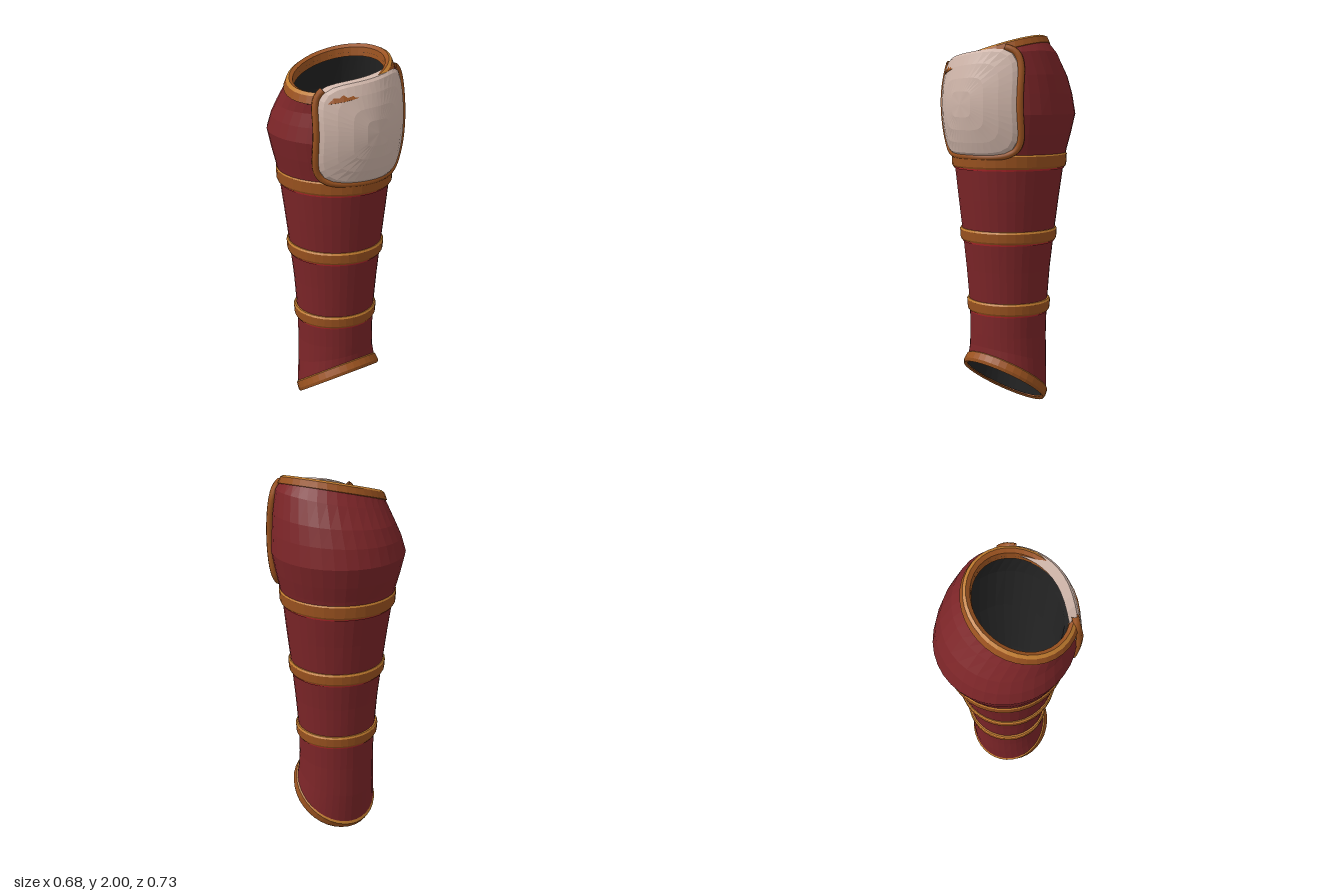
import * as THREE from 'three';

const mat = (name, color) => {
  const m = new THREE.MeshStandardMaterial({ color, side: THREE.DoubleSide });
  m.name = name;
  return m;
};

// Flat-shaded skin through closed rings; point(i, angle) gives each vertex
function skin(rows, sides, point) {
  const pos = [], index = [];
  for (let i = 0; i < rows; i++)
    for (let j = 0; j < sides; j++) pos.push(...point(i, (j / sides) * Math.PI * 2));
  for (let i = 0; i < rows - 1; i++)
    for (let j = 0; j < sides; j++) {
      const a = i * sides + j, b = i * sides + ((j + 1) % sides);
      index.push(a, a + sides, b, b, a + sides, b + sides);
    }
  const g = new THREE.BufferGeometry();
  g.setAttribute('position', new THREE.Float32BufferAttribute(pos, 3));
  g.setIndex(index);
  const flat = g.toNonIndexed();
  flat.computeVertexNormals();
  return flat;
}

// Each row: y, x centre, x radius, z centre, z radius, slope along x, slope along z
const loft = (rows) => skin(rows.length, 36, (i, t) => {
  const [y, cx, rx, cz, rz, sx = 0, sz = 0] = rows[i];
  const dx = rx * Math.cos(t), dz = rz * Math.sin(t);
  return [cx + dx, y + sx * dx + sz * dz, cz + dz];
});

export function createModel() {
  const group = new THREE.Group();
  const red = mat('dark red', 0x7c2528);
  const brightRed = mat('bright red', 0xb0262a);
  const orange = mat('bronze', 0x9a521f);
  const gold = mat('gold', 0xbe7a2e);
  const cream = mat('cream', 0xd0b6aa);
  const black = mat('lining black', 0x242424);
  const add = (name, geometry, material) => {
    const mesh = new THREE.Mesh(geometry, material);
    mesh.name = name;
    group.add(mesh);
  };

  // Outer sleeve, slanted at the bottom and tilted at the top
  add('sleeve', loft([
    [0.18, 0, 0.225, 0.012, 0.2, 0, 0.72],
    [0.3, 0, 0.212, 0.005, 0.203, 0, 0.35],
    [0.42, 0, 0.207, 0.005, 0.204, 0, 0.08],
    [0.57, 0, 0.21, 0.003, 0.206],
    [0.78, 0, 0.225, 0.004, 0.224],
    [0.96, 0, 0.243, 0.002, 0.245],
    [1.16, 0, 0.266, 0, 0.27],
    [1.34, 0, 0.286, -0.005, 0.295],
    [1.42, 0, 0.302, -0.005, 0.311],
    [1.5, 0, 0.32, -0.008, 0.332],
    [1.6, 0, 0.34, -0.012, 0.352],
    [1.69, 0.004, 0.326, -0.003, 0.336, 0.05],
    [1.77, 0.008, 0.308, 0.012, 0.313, 0.1],
    [1.86, -0.002, 0.288, 0.042, 0.278, 0.2],
    [1.905, -0.022, 0.262, 0.065, 0.243, 0.28, -0.12],
  ]), red);

  // Dark inner wall, narrowest above the wrist
  add('lining', loft([
    [1.89, -0.022, 0.234, 0.065, 0.214, 0.28, -0.12],
    [1.75, 0, 0.255, 0.02, 0.25],
    [1.4, 0, 0.25, 0, 0.25],
    [0.95, 0, 0.2, 0.005, 0.2],
    [0.5, 0, 0.145, 0.008, 0.133],
    [0.3, 0, 0.175, 0.01, 0.15, 0, 0.4],
    [0.16, 0, 0.216, 0.037, 0.184, 0, 0.72],
  ]), black);

  // Slanted wrist rim
  add('wristRim', loft([
    [0.155, 0, 0.214, 0.038, 0.182, 0, 0.72],
    [0.148, 0, 0.23, 0.042, 0.2, 0, 0.72],
    [0.162, 0, 0.235, 0.034, 0.207, 0, 0.72],
    [0.192, 0, 0.23, 0.012, 0.207, 0, 0.72],
  ]), orange);
  add('wristRimEdge', loft([
    [0.192, 0, 0.23, 0.012, 0.207, 0, 0.72],
    [0.2, 0, 0.218, 0.006, 0.195, 0, 0.72],
  ]), gold);

  // Tilted rim around the upper opening
  const rim = (y, rx, rz) => [y, -0.022, rx, 0.065, rz, 0.28, -0.12];
  add('upperRim', loft([rim(1.872, 0.27, 0.255), rim(1.88, 0.282, 0.267), rim(1.914, 0.27, 0.251)]), orange);
  add('upperRimEdge', loft([rim(1.914, 0.27, 0.251), rim(1.924, 0.255, 0.236)]), gold);
  add('upperRimInside', loft([rim(1.924, 0.255, 0.236), rim(1.914, 0.237, 0.217), rim(1.87, 0.232, 0.212)]), orange);

  // Three raised bands, each with a gold top edge and a red line below
  for (const [name, y0, y1, rx, cz, rz] of [
    ['lower', 0.55, 0.615, 0.228, 0.001, 0.222],
    ['middle', 0.935, 1.0, 0.26, 0.002, 0.26],
    ['upper', 1.325, 1.4, 0.302, -0.005, 0.312],
  ]) {
    const row = (y, inset) => [y, 0, rx - inset, cz, rz - inset];
    add(name + 'Band', loft([row(y0, 0.03), row(y0, 0.008), row(y0 + 0.01, 0.003), row(y1 - 0.01, 0)]), orange);
    add(name + 'BandEdge', loft([row(y1 - 0.01, 0), row(y1, 0.006), row(y1, 0.03)]), gold);
    add(name + 'BandLine', loft([row(y0 - 0.009, 0.014), row(y0, 0.012)]), brightRed);
  }

  // Curved front plate with rounded corners and a tilted top edge
  const platePoint = (s, a, back = 0) => {
    const c = Math.cos(a), d = Math.sin(a);
    const r = s / Math.pow(Math.abs(c) ** 5 + Math.abs(d) ** 5, 0.2);
    const u = r * c, v = r * d;
    return [0.26 * u, 1.652 + 0.257 * v + 0.034 * u * Math.max(0, v),
      0.365 - 0.125 * u * u - 0.05 * v * v - back];
  };
  const rings = [[0.001, 0], [0.25, 0], [0.5, 0], [0.75, 0], [0.95, 0], [1, 0.008], [1, 0.06]];
  add('frontPlate', skin(rings.length, 48, (i, a) => platePoint(rings[i][0], a, rings[i][1])), cream);

  // Border running down both sides and under the plate
  const path = [];
  for (let i = 0; i <= 48; i++) {
    const a = Math.PI * (0.74 + (1.56 * i) / 48);
    path.push(new THREE.Vector3(...platePoint(1.03, a, 0.018)));
  }
  add('plateBorder', new THREE.TubeGeometry(new THREE.CatmullRomCurve3(path), 72, 0.018, 8), orange);

  return group;
}
